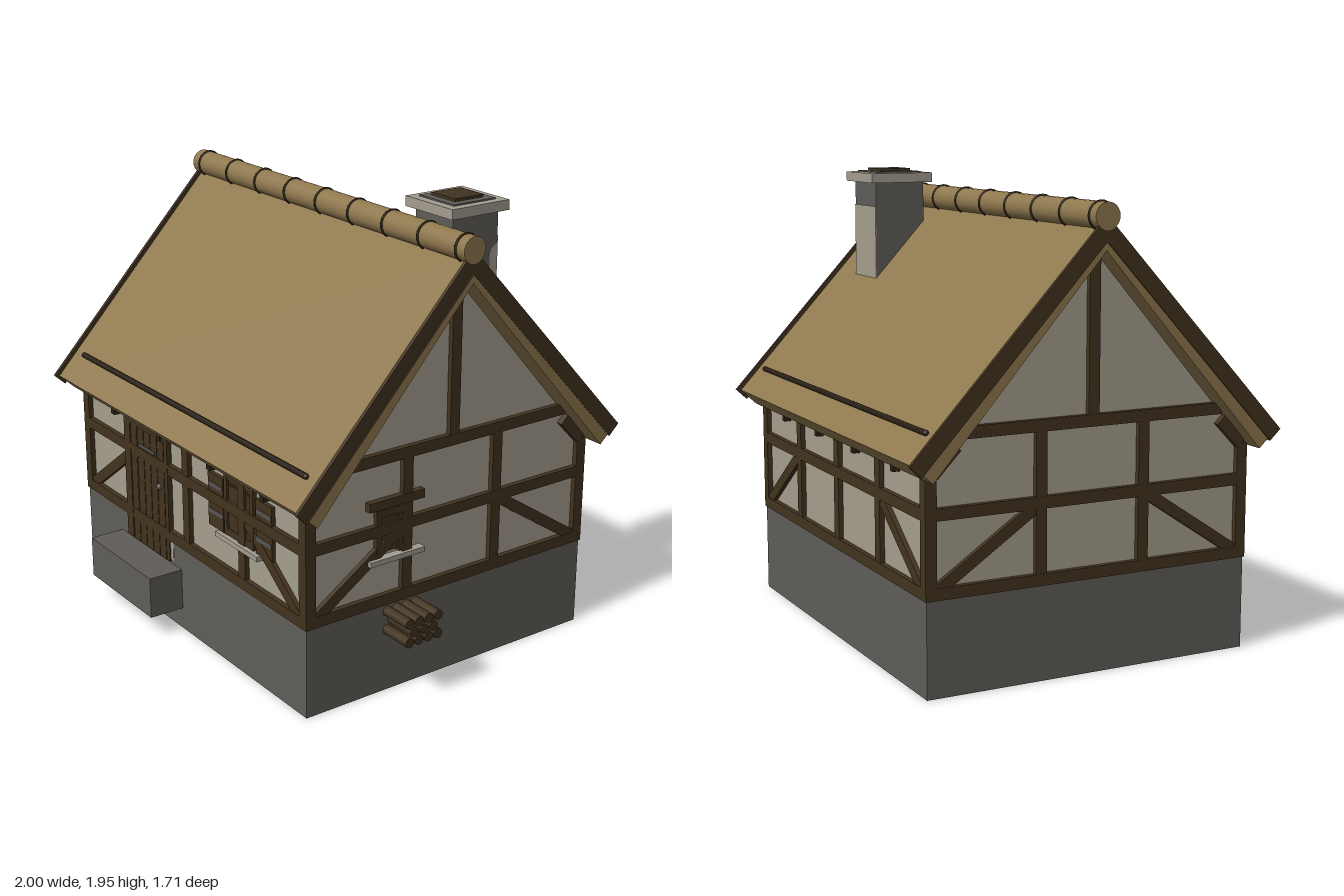
import * as THREE from 'three';

const mat = (name, color) => Object.assign(new THREE.MeshStandardMaterial({ color }), { name });

export function createModel() {
  const thatch = mat('thatch', 0x8f784e);
  const plaster = mat('plaster', 0xa69f8f);
  const stone = mat('stone', 0x605d58);
  const paleStone = mat('pale stone', 0xa39c8f);
  const timber = mat('timber', 0x42331f);
  const darkWood = mat('dark wood', 0x2a2116);
  const iron = mat('iron', 0x575553);

  const house = new THREE.Group();
  house.name = 'cottage';
  house.position.set(-0.0275, 0, -0.025);

  const add = (parent, name, geo, material, x = 0, y = 0, z = 0) => {
    const m = new THREE.Mesh(geo, material);
    m.name = name;
    m.position.set(x, y, z);
    parent.add(m);
    return m;
  };
  // Box given by its min and max along each axis
  const block = (parent, name, material, x0, x1, y0, y1, z0, z1) =>
    add(parent, name, new THREE.BoxGeometry(x1 - x0, y1 - y0, z1 - z0), material,
      (x0 + x1) / 2, (y0 + y1) / 2, (z0 + z1) / 2);
  // Symmetric (z, y) profile extruded along x
  const alongX = (points, length) => {
    const g = new THREE.ExtrudeGeometry(new THREE.Shape(points.map(p => new THREE.Vector2(...p))),
      { depth: length, bevelEnabled: false });
    return g.translate(0, 0, -length / 2).rotateY(Math.PI / 2);
  };

  // Hollow stone foundation
  const HX = 0.879, HZ = 0.7215, T = 0.057;
  const rect = (S, a, b) => new S([[-a, -b], [a, -b], [a, b], [-a, b]].map(p => new THREE.Vector2(...p)));
  const ring = rect(THREE.Shape, HX, HZ);
  ring.holes.push(rect(THREE.Path, HX - T, HZ - T));
  add(house, 'foundation',
    new THREE.ExtrudeGeometry(ring, { depth: 0.392, bevelEnabled: false }).rotateX(-Math.PI / 2), stone);
  block(house, 'floor', plaster, -HX + T, HX - T, 0.225, 0.4, -HZ + T, HZ - T);

  // Plastered walls with gables
  add(house, 'walls', alongX([[-0.705, 0.39], [0.705, 0.39], [0.705, 0.9], [0, 1.71], [-0.705, 0.9]], 1.724), plaster);

  // Roof: chevrons between two offsets from the outer thatch surface, the underside lifted at the ridge
  const SIN = 0.731, COS = 0.682, APEX = 1.796;
  const chevron = (hi, lo, length, extend, lift) => {
    const end = o => [0.8075 + o * SIN + extend * COS, 0.93 + o * COS - extend * SIN];
    const [a, b] = end(hi), [c, d] = end(lo);
    return alongX([[0, APEX + hi / COS], [-a, b], [-c, d], [0, APEX + lo / COS + lift], [c, d], [a, b]], length);
  };
  add(house, 'thatchedRoof', chevron(0, -0.104, 1.934, 0, 0.045), thatch, 0.002);
  for (const s of [-1, 1]) {
    add(house, 'bargeboard', chevron(0.017, -0.05, 0.016, 0.012, 0), timber, s * 0.963);
    const rod = add(house, 'roofRod', new THREE.CapsuleGeometry(0.012, 1.75, 4, 8), darkWood, 0, 1.035, s * 0.717);
    rod.rotation.z = Math.PI / 2;
  }

  // Ridge roll with bindings
  add(house, 'ridgeRoll', new THREE.CylinderGeometry(0.054, 0.054, 1.945, 24).rotateZ(Math.PI / 2), thatch, 0, 1.82, 0);
  for (let i = -4; i <= 4; i++) {
    add(house, 'ridgeBinding', new THREE.TorusGeometry(0.053, 0.007, 6, 24).rotateY(Math.PI / 2), darkWood, i * 0.23, 1.82, 0);
  }

  // Timber frame of one wall, drawn facing +z with its face at z = 0
  const W = 0.048;
  const beam = (parent, name, x0, y0, x1, y1, depth = 0.03) => {
    const m = add(parent, name, new THREE.BoxGeometry(Math.hypot(x1 - x0, y1 - y0), W, depth), timber,
      (x0 + x1) / 2, (y0 + y1) / 2, -0.016);
    m.rotation.z = Math.atan2(y1 - y0, x1 - x0);
  };
  const wallFrame = (name, half, dist, turn, posts) => {
    const g = new THREE.Group();
    g.name = name;
    g.rotation.y = turn;
    g.position.set(Math.sin(turn) * dist, 0, Math.cos(turn) * dist);
    house.add(g);
    for (const y of [0.412, 0.72]) beam(g, 'rail', -half, y, half, y, 0.032);
    for (const x of posts) beam(g, 'post', x, 0.4, x, 0.872);
    const corner = half - W / 2, inner = posts[posts.length - 1];
    for (const s of [-1, 1]) {
      beam(g, 'cornerPost', s * corner, 0.388, s * corner, 0.87, 0.032);
      beam(g, 'brace', s * (corner - 0.03), 0.425, s * (inner + 0.02), 0.705, 0.026);
    }
    return g;
  };
  const longPosts = [-0.43, 0, 0.43], gablePosts = [-0.231, 0.231];
  const front = wallFrame('frontFrame', 0.885, 0.727, 0, longPosts);
  const back = wallFrame('backFrame', 0.885, 0.727, Math.PI, longPosts);
  const right = wallFrame('gableFrame', 0.727, 0.885, Math.PI / 2, gablePosts);
  const left = wallFrame('gableFrame', 0.727, 0.885, -Math.PI / 2, gablePosts);

  for (const g of [front, back]) {
    block(g, 'topPlate', timber, -0.88, 0.88, 0.855, 0.88, -0.04, -0.004);
    for (const x of [-0.595, -0.2, 0.2, 0.595]) {
      block(g, 'rafterTail', darkWood, x - 0.014, x + 0.014, 0.838, 0.875, -0.05, 0.008);
    }
  }
  for (const g of [right, left]) {
    beam(g, 'tieBeam', -0.6, 1.023, 0.6, 1.023, 0.032);
    for (const x of gablePosts) beam(g, 'upperPost', x, 0.86, x, 1.01);
    beam(g, 'kingPost', 0, 1.02, 0, 1.7);
    for (const s of [-1, 1]) beam(g, 'kneeBrace', s * 0.695, 0.872, s * 0.595, 0.975, 0.04);
  }

  // Plank door
  const door = new THREE.Group();
  door.name = 'door';
  front.add(door);
  block(door, 'doorBacking', darkWood, -0.505, -0.15, 0.285, 0.87, -0.03, -0.004);
  block(door, 'doorReveal', plaster, -0.147, -0.12, 0.3, 0.395, -0.03, -0.004);
  for (let i = 0; i < 5; i++) {
    const x = -0.452 + i * 0.056;
    block(door, 'plank', timber, x, x + 0.05, 0.285, 0.86, -0.03, -0.002);
  }
  for (const [a, b] of [[-0.51, -0.458], [-0.17, -0.143]]) {
    block(door, 'jamb', timber, a, b, 0.29, 0.87, -0.03, 0.001);
  }
  block(door, 'lintel', timber, -0.51, -0.14, 0.838, 0.875, -0.03, 0.001);
  block(door, 'hinge', iron, -0.39, -0.25, 0.75, 0.765, -0.01, 0.001);
  add(door, 'handle', new THREE.SphereGeometry(0.015, 12, 8), iron, -0.22, 0.615, -0.004);

  // Front window with shutters
  const win = new THREE.Group();
  win.name = 'frontWindow';
  front.add(win);
  block(win, 'pane', timber, 0.32, 0.5, 0.6, 0.85, -0.03, -0.012);
  for (const x of [0.314, 0.506]) block(win, 'upright', timber, x - 0.011, x + 0.011, 0.59, 0.86, -0.03, -0.002);
  for (const y of [0.605, 0.85]) block(win, 'crossbar', timber, 0.305, 0.515, y - 0.014, y + 0.014, -0.03, -0.003);
  block(win, 'glazingBar', darkWood, 0.325, 0.495, 0.808, 0.82, -0.03, -0.01);
  block(win, 'sill', paleStone, 0.255, 0.565, 0.565, 0.587, -0.03, 0.014);
  for (const x of [0.178, 0.533]) {
    block(win, 'shutter', timber, x, x + 0.114, 0.587, 0.825, -0.03, -0.005);
    for (const y of [0.655, 0.775]) block(win, 'shutterStrap', iron, x + 0.005, x + 0.109, y - 0.01, y + 0.01, -0.006, -0.003);
  }

  // Gable window
  const side = new THREE.Group();
  side.name = 'gableWindow';
  right.add(side);
  block(side, 'pane', timber, -0.36, -0.23, 0.62, 0.81, -0.03, -0.01);
  for (const x of [-0.372, -0.262]) block(side, 'upright', timber, x - 0.012, x + 0.012, 0.61, 0.82, -0.03, -0.002);
  block(side, 'crossbar', timber, -0.385, -0.23, 0.775, 0.805, -0.03, -0.001);
  block(side, 'lintel', timber, -0.425, -0.152, 0.812, 0.85, -0.03, 0.005);
  block(side, 'sill', paleStone, -0.425, -0.152, 0.58, 0.602, -0.03, 0.014);

  // Doorstep
  block(house, 'doorstep', stone, -0.575, -0.058, 0.097, 0.281, 0.7, 0.88);

  // Stacked logs
  [[0.275, 4], [0.316, 3], [0.357, 4]].forEach(([y, n]) => {
    for (let i = 0; i < n; i++) {
      add(house, 'log', new THREE.CylinderGeometry(0.022, 0.022, 0.17, 10).rotateZ(Math.PI / 2), timber,
        0.9425, y, 0.2525 + (i - (n - 1) / 2) * 0.048);
    }
  });

  // Chimney
  const chimney = new THREE.Group();
  chimney.name = 'chimney';
  chimney.position.set(0.635, 0, -0.19);
  house.add(chimney);
  const tier = (name, material, w, y0, y1) => block(chimney, name, material, -w / 2, w / 2, y0, y1, -w / 2, w / 2);
  tier('shaft', stone, 0.232, 1.4, 1.89);
  tier('cap', paleStone, 0.293, 1.89, 1.932);
  tier('capInset', stone, 0.215, 1.93, 1.938);
  tier('flue', timber, 0.145, 1.93, 1.95);
  block(chimney, 'backRender', plaster, -0.116, 0.116, 1.42, 1.785, -0.119, -0.115);
  const patch = new THREE.Shape();
  patch.moveTo(0.116, 1.755);
  patch.quadraticCurveTo(0.06, 1.74, 0.076, 1.66);
  patch.quadraticCurveTo(0.085, 1.61, 0.116, 1.6);
  add(chimney, 'sideRender', new THREE.ExtrudeGeometry(patch, { depth: 0.004, bevelEnabled: false })
    .rotateY(Math.PI / 2), plaster, 0.115, 0, 0);

  const model = new THREE.Group();
  model.name = 'timberFramedCottage';
  model.add(house);
  return model;
}
